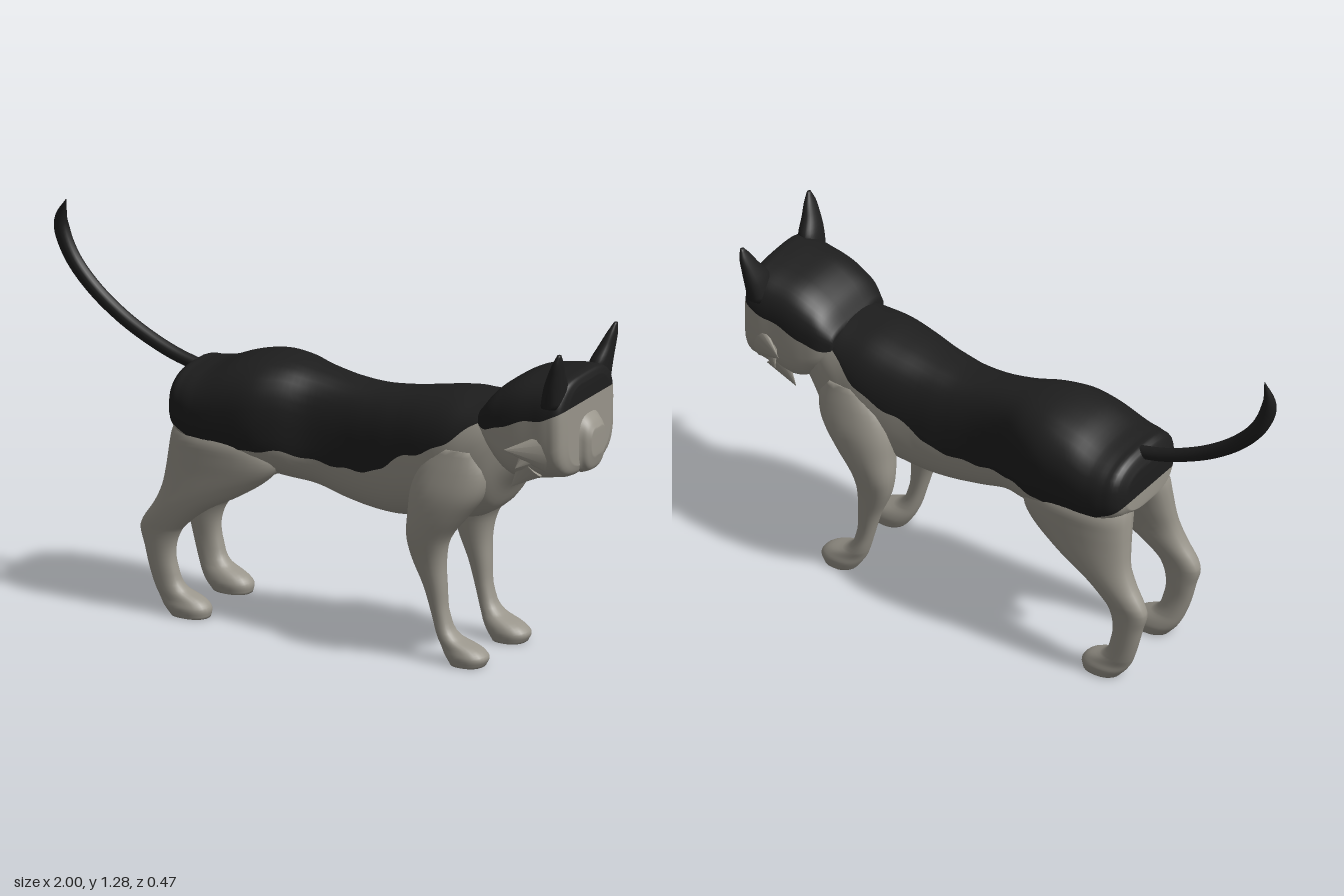
import * as THREE from 'three';

const black = new THREE.MeshStandardMaterial({ color: 0x1e1e1e });
black.name = 'black fur';
const grey = new THREE.MeshStandardMaterial({ color: 0x98948a });
grey.name = 'grey fur';

// Smoothly resample rows of [position, ...values]
function resample(rows, steps) {
  const size = rows[0].length;
  const curve = new THREE.CubicInterpolant(rows.map((r) => r[0]), rows.flat(), size, new Float32Array(size));
  const out = [];
  rows.forEach((row, i) => {
    if (i === rows.length - 1) return out.push(row);
    for (let k = 0; k < steps; k++) {
      out.push(Array.from(curve.evaluate(row[0] + ((rows[i + 1][0] - row[0]) * k) / steps)));
    }
  });
  return out;
}

// Skin closed rings; the first `upper` segments take one material, the rest another
function skin(name, rings, upper, lower, materials) {
  const n = upper + lower, last = rings.length - 1;
  const groups = [[0, upper], [upper, lower]];
  const index = [];
  const geometry = new THREE.BufferGeometry();
  groups.forEach(([from, count], g) => {
    const start = index.length;
    const at = (i, j) => i * n + ((from + j) % n);
    for (let i = 0; i < last; i++) {
      for (let j = 0; j < count; j++) {
        const a = at(i, j), b = at(i, j + 1), c = at(i + 1, j), d = at(i + 1, j + 1);
        index.push(a, c, b, b, c, d);
      }
    }
    // flat end caps, joined across the ring
    for (let k = 0; k < count / 2; k++) {
      const [p, q, r, s] = [k, k + 1, count - k - 1, count - k];
      index.push(at(0, p), at(0, q), at(0, r), at(0, p), at(0, r), at(0, s));
      index.push(at(last, p), at(last, r), at(last, q), at(last, p), at(last, s), at(last, r));
    }
    geometry.addGroup(start, index.length - start, g);
  });
  geometry.setAttribute('position', new THREE.Float32BufferAttribute(rings.flat(2), 3));
  geometry.setIndex(index);
  geometry.computeVertexNormals();
  const mesh = new THREE.Mesh(geometry, materials);
  mesh.name = name;
  return mesh;
}

const power = (v, e) => Math.sign(v) * Math.abs(v) ** e;

// Loft along x: rows of [x, top, bottom, halfWidth, colourLine]
function loftX(name, rows, n, materials) {
  const upper = 20, lower = 20;
  const rings = resample(rows, 5).map(([x, top, bottom, w, line]) => {
    const cy = (top + bottom) / 2, ry = (top - bottom) / 2;
    const wavy = line + 0.004 * Math.sin(x * 55);
    const s = THREE.MathUtils.clamp((wavy - cy) / ry, -0.97, 0.97);
    const a0 = Math.asin(power(s, n / 2));
    const ring = [];
    for (let j = 0; j < upper + lower; j++) {
      const a = j < upper
        ? a0 + ((Math.PI - 2 * a0) * j) / upper
        : Math.PI - a0 + ((Math.PI + 2 * a0) * (j - upper)) / lower;
      ring.push([x, cy + ry * power(Math.sin(a), 2 / n), w * power(Math.cos(a), 2 / n)]);
    }
    return ring;
  });
  return skin(name, rings, upper, lower, materials);
}

// Loft along y: rows of [y, xBack, xFront, zCentre, zRadius]
function loftY(name, rows, side, material) {
  const rings = resample(rows, 4).map(([y, x0, x1, zc, rz]) =>
    Array.from({ length: 24 }, (_, j) => {
      const a = (j / 24) * Math.PI * 2;
      return [
        (x0 + x1) / 2 + ((x1 - x0) / 2) * power(Math.cos(a), 0.87),
        y,
        side * zc + rz * power(Math.sin(a), 0.87),
      ];
    }));
  return skin(name, rings, 12, 12, [material, material]);
}

// Flattened pointed tuft of fur from base to tip
function tuft(base, tip, width, side) {
  const from = new THREE.Vector3(base[0], base[1], base[2] * side);
  const to = new THREE.Vector3(tip[0], tip[1], tip[2] * side);
  const dir = to.clone().sub(from);
  const geometry = new THREE.ConeGeometry(width, dir.length(), 12);
  const mesh = new THREE.Mesh(geometry, grey);
  const up = dir.clone().normalize();
  const out = new THREE.Vector3(0, 0, 1).addScaledVector(up, -up.z).normalize();
  mesh.quaternion.setFromRotationMatrix(new THREE.Matrix4().makeBasis(up.clone().cross(out), up, out));
  mesh.scale.z = 0.4;
  mesh.position.copy(from).add(to).multiplyScalar(0.5);
  mesh.name = 'cheekTuft';
  return mesh;
}

// Tail swept along a curve, deeper towards a pointed tip
function makeTail() {
  const path = new THREE.CatmullRomCurve3([
    [-0.44, 0.79], [-0.55, 0.82], [-0.65, 0.862], [-0.75, 0.918], [-0.85, 0.995],
    [-0.925, 1.08], [-0.964, 1.16], [-0.972, 1.21], [-0.953, 1.28],
  ].map(([x, y]) => new THREE.Vector3(x, y, 0)));
  const steps = 48, sides = 14, radius = 0.022;
  const geometry = new THREE.TubeGeometry(path, steps, radius, sides);
  const position = geometry.attributes.position;
  const v = new THREE.Vector3();
  for (let i = 0; i <= steps; i++) {
    const u = i / steps, centre = path.getPointAt(u);
    const taper = u < 0.86 ? 1 : Math.max(0.03, 1 - ((u - 0.86) / 0.14) ** 1.5);
    const depth = taper * (1 + 0.3 * u);
    for (let j = 0; j <= sides; j++) {
      const k = i * (sides + 1) + j;
      v.fromBufferAttribute(position, k).sub(centre);
      position.setXYZ(k, centre.x + v.x * depth, centre.y + v.y * depth, v.z * taper);
    }
  }
  const mesh = new THREE.Mesh(geometry, black);
  mesh.name = 'tail';
  return mesh;
}

export function createModel() {
  const group = new THREE.Group();
  group.name = 'cat';

  // Torso and neck
  group.add(loftX('body', [
    [-0.505, 0.77, 0.62, 0.125, 0.68], [-0.485, 0.81, 0.6, 0.165, 0.66], [-0.44, 0.82, 0.57, 0.19, 0.63],
    [-0.38, 0.83, 0.55, 0.2, 0.605], [-0.28, 0.868, 0.53, 0.203, 0.6], [-0.18, 0.887, 0.508, 0.2, 0.605],
    [-0.1, 0.885, 0.495, 0.178, 0.615], [0, 0.867, 0.48, 0.136, 0.595], [0.1, 0.85, 0.45, 0.125, 0.582],
    [0.2, 0.842, 0.432, 0.134, 0.585], [0.28, 0.847, 0.428, 0.147, 0.61], [0.33, 0.853, 0.432, 0.155, 0.655],
    [0.42, 0.868, 0.448, 0.172, 0.69], [0.52, 0.882, 0.46, 0.185, 0.74], [0.6, 0.882, 0.475, 0.183, 0.8],
    [0.66, 0.882, 0.515, 0.173, 0.84], [0.71, 0.875, 0.59, 0.155, 0.85], [0.76, 0.86, 0.65, 0.13, 0.85],
  ], 2.55, [black, grey]));

  // Head and muzzle
  group.add(loftX('head', [
    [0.635, 0.875, 0.78, 0.145, 0.82], [0.68, 0.932, 0.72, 0.172, 0.82], [0.73, 0.968, 0.665, 0.184, 0.835],
    [0.78, 0.99, 0.645, 0.19, 0.86], [0.85, 1.003, 0.655, 0.192, 0.878], [0.91, 1.01, 0.668, 0.194, 0.895],
    [0.945, 1.01, 0.677, 0.187, 0.907], [0.958, 1.003, 0.69, 0.17, 0.915], [0.966, 0.985, 0.71, 0.14, 0.922],
  ], 3.3, [black, grey]));
  group.add(loftX('muzzle', [
    [0.955, 0.885, 0.675, 0.085, 0.8], [0.97, 0.87, 0.68, 0.07, 0.8],
    [0.988, 0.85, 0.695, 0.06, 0.79], [1, 0.83, 0.735, 0.046, 0.78],
  ], 2.8, [grey, grey]));

  for (const side of [1, -1]) {
    // Ears
    group.add(loftY('ear', [
      [0.93, 0.875, 0.952, 0.145, 0.05], [1, 0.893, 0.957, 0.153, 0.052], [1.05, 0.915, 0.961, 0.171, 0.036],
      [1.09, 0.935, 0.964, 0.182, 0.024], [1.12, 0.952, 0.963, 0.188, 0.008],
    ], side, black));

    // Cheek fur
    group.add(tuft([0.9, 0.775, 0.165], [0.78, 0.785, 0.237], 0.07, side));
    group.add(tuft([0.87, 0.79, 0.17], [0.81, 0.72, 0.215], 0.055, side));
    group.add(tuft([0.84, 0.72, 0.16], [0.765, 0.635, 0.16], 0.05, side));

    // Legs
    group.add(loftY('frontLeg', [
      [0, 0.54, 0.655, 0.14, 0.053], [0.03, 0.52, 0.667, 0.14, 0.058], [0.055, 0.507, 0.64, 0.14, 0.052],
      [0.085, 0.495, 0.57, 0.145, 0.041], [0.15, 0.475, 0.532, 0.147, 0.032], [0.25, 0.445, 0.522, 0.15, 0.037],
      [0.35, 0.403, 0.522, 0.155, 0.048], [0.42, 0.39, 0.54, 0.16, 0.059], [0.5, 0.393, 0.6, 0.155, 0.074],
      [0.58, 0.4, 0.66, 0.145, 0.083], [0.66, 0.43, 0.68, 0.13, 0.08], [0.73, 0.49, 0.66, 0.11, 0.078],
    ], side, grey));
    group.add(loftY('hindLeg', [
      [0, -0.485, -0.352, 0.14, 0.05], [0.03, -0.51, -0.348, 0.14, 0.055], [0.055, -0.525, -0.37, 0.14, 0.049],
      [0.085, -0.538, -0.43, 0.145, 0.041], [0.15, -0.56, -0.462, 0.15, 0.035], [0.22, -0.578, -0.47, 0.15, 0.035],
      [0.28, -0.594, -0.45, 0.15, 0.037], [0.31, -0.584, -0.425, 0.15, 0.041], [0.37, -0.545, -0.35, 0.145, 0.051],
      [0.43, -0.52, -0.24, 0.138, 0.06], [0.5, -0.51, -0.14, 0.125, 0.073], [0.56, -0.505, -0.1, 0.114, 0.084],
      [0.61, -0.5, -0.12, 0.102, 0.092], [0.66, -0.49, -0.16, 0.08, 0.085],
    ], side, grey));
  }

  group.add(makeTail());
  return group;
}
